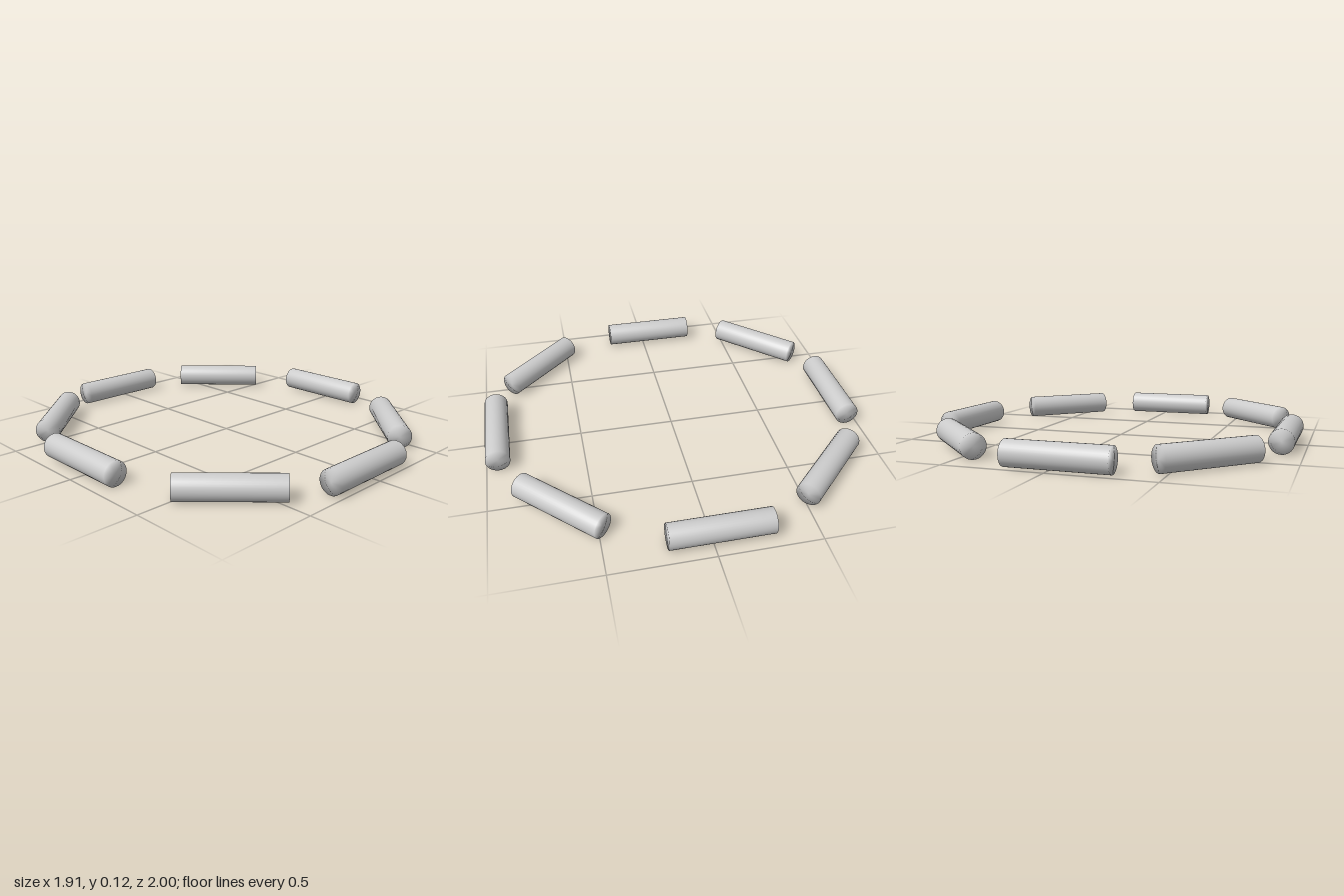
import * as THREE from 'three';
import { mergeVertices } from 'three/addons/utils/BufferGeometryUtils.js';

const RADIUS = 0.0625;
const LENGTH = 0.5;

// Capped rod lying along x, with normals smoothed over the rims
function rodGeometry() {
  let geo = new THREE.CylinderGeometry(RADIUS, RADIUS, LENGTH, 32);
  geo.rotateZ(Math.PI / 2);
  geo.deleteAttribute('normal');
  geo.deleteAttribute('uv');
  geo = mergeVertices(geo, 1e-4);
  geo.computeVertexNormals();
  return geo;
}

export function createModel() {
  const group = new THREE.Group();
  group.name = 'rodRing';
  const material = new THREE.MeshStandardMaterial({ color: 0xcccccc });
  const geometry = rodGeometry();

  // Eight separate rods in a ring: name, x, z, turn about y in degrees
  const rods = [
    ['frontRod', -0.036, 0.9375, 0],
    ['frontLeftRod', 0.593, 0.658, 45],
    ['leftRod', 0.894, -0.039, 90],
    ['backLeftRod', 0.593, -0.679, -45],
    ['backRod', -0.036, -0.9375, 0],
    ['backRightRod', -0.633, -0.679, 45],
    ['rightRod', -0.896, -0.039, 90],
    ['frontRightRod', -0.633, 0.669, -45],
  ];
  for (const [name, x, z, turn] of rods) {
    const rod = new THREE.Mesh(geometry, material);
    rod.name = name;
    rod.position.set(x, RADIUS, z);
    rod.rotation.y = THREE.MathUtils.degToRad(turn);
    group.add(rod);
  }
  return group;
}
